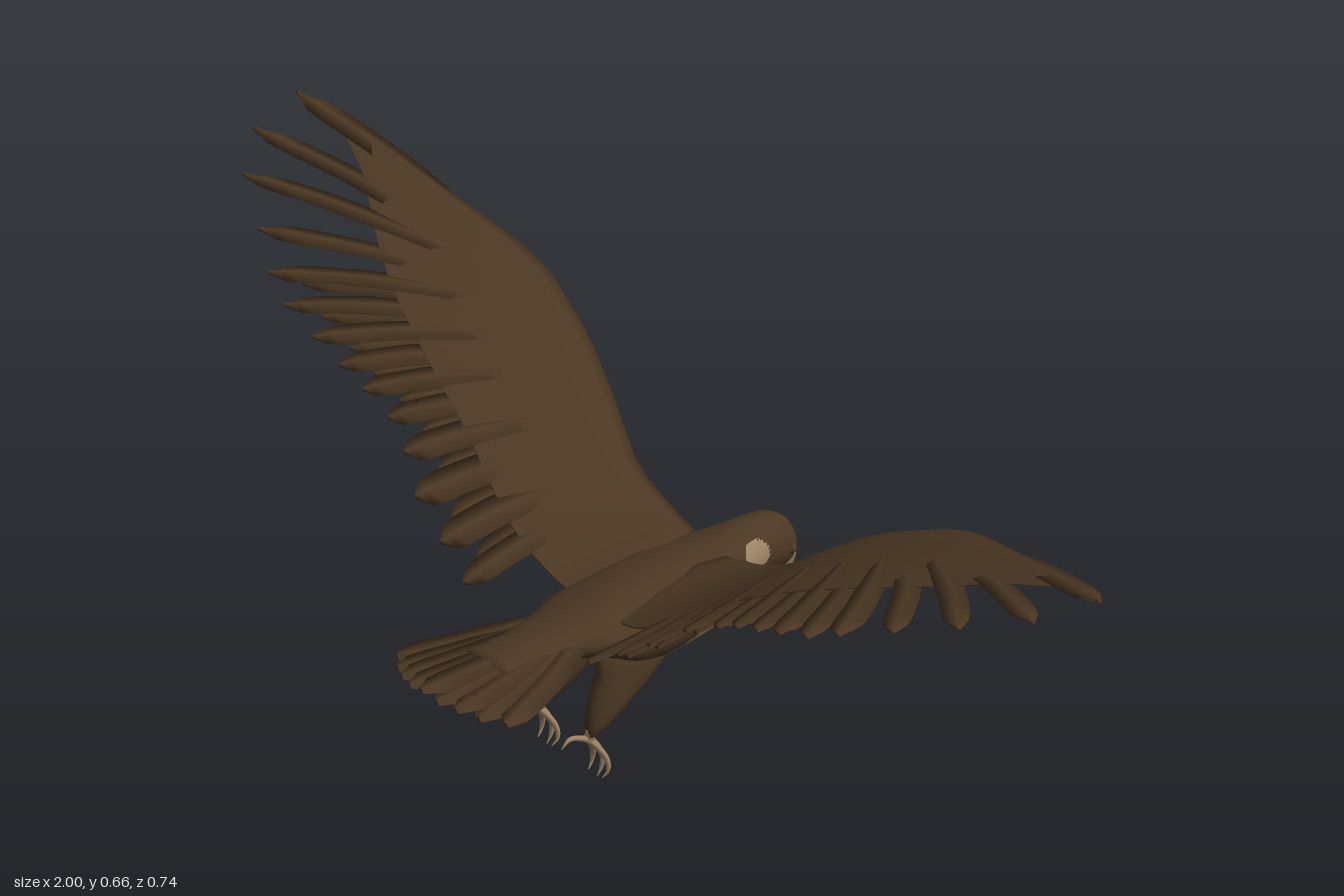
import * as THREE from 'three';

const V = (x, y, z) => new THREE.Vector3(x, y, z);
const brown = new THREE.MeshStandardMaterial({ name: 'brownPlumage', color: 0x4b3723 });
const tan = new THREE.MeshStandardMaterial({ name: 'tanPlumage', color: 0x9c8465 });

// Linear lookup in a table of [key, value] rows
function lookup(table, k) {
  if (k <= table[0][0]) return table[0][1];
  for (let i = 1; i < table.length; i++) {
    const [k0, v0] = table[i - 1], [k1, v1] = table[i];
    if (k <= k1) return v0 + (v1 - v0) * (k - k0) / (k1 - k0);
  }
  return table[table.length - 1][1];
}

// Closed skin over rings of points, capped at both ends and always facing outward
function loft(rings) {
  const n = rings[0].length, m = rings.length, pts = rings.flat(), idx = [];
  for (let i = 0; i < m - 1; i++) for (let j = 0; j < n; j++) {
    const a = i * n + j, b = i * n + (j + 1) % n;
    idx.push(a, b, a + n, b, b + n, a + n);
  }
  for (const [row, first] of [[0, true], [m - 1, false]]) {
    const c = pts.length, centre = V(0, 0, 0);
    rings[row].forEach(p => centre.addScaledVector(p, 1 / n));
    pts.push(centre);
    for (let j = 0; j < n; j++) {
      const a = row * n + j, b = row * n + (j + 1) % n;
      idx.push(...(first ? [c, b, a] : [c, a, b]));
    }
  }
  let volume = 0;
  const cross = V(0, 0, 0);
  for (let i = 0; i < idx.length; i += 3)
    volume += pts[idx[i]].dot(cross.crossVectors(pts[idx[i + 1]], pts[idx[i + 2]]));
  if (volume < 0) idx.reverse();
  const g = new THREE.BufferGeometry().setFromPoints(pts);
  g.setIndex(idx);
  g.computeVertexNormals();
  return g;
}

// Tapered round limb along a curve
function limb(points, radii, steps = 14, sides = 8) {
  const curve = new THREE.CatmullRomCurve3(points), f = curve.computeFrenetFrames(steps);
  return loft(Array.from({ length: steps + 1 }, (_, i) => {
    const t = i / steps, c = curve.getPointAt(t);
    const r = lookup(radii.map((v, k) => [k / (radii.length - 1), v]), t);
    return Array.from({ length: sides }, (_, j) => {
      const a = j / sides * Math.PI * 2;
      return c.clone().addScaledVector(f.normals[i], r * Math.cos(a)).addScaledVector(f.binormals[i], r * Math.sin(a));
    });
  }));
}

// Thin blade from base to tip [x, z]; height(x, t) gives y, side mirrors it
function feather(base, tip, half, side, height) {
  const dx = tip[0] - base[0], dz = tip[1] - base[1], len = Math.hypot(dx, dz);
  const nx = -dz / len, nz = dx / len, rings = [], steps = 12;
  for (let i = 0; i <= steps; i++) {
    const t = i / steps, e = Math.max(0, (t - 0.8) / 0.2);
    const w = half * Math.min(1, 0.55 + t) * (0.25 + 0.75 * Math.sqrt(1 - e * e));
    const sweep = 0.03 * len * Math.sin(Math.PI * t);
    const at = (u, up) => {
      const x = base[0] + dx * t + nx * (u * w - sweep), z = base[1] + dz * t + nz * (u * w - sweep);
      return V(side * x, height(x, t) + up + u * 0.003, z);
    };
    rings.push([at(-1, 0), at(0, 0.005), at(1, 0), at(0, -0.003)]);
  }
  return loft(rings);
}

// Splits faces between plumage colours by the face centre
function paint(g, isTan) {
  const p = g.attributes.position, src = g.index.array, lists = [[], []], c = V(0, 0, 0), q = V(0, 0, 0);
  for (let i = 0; i < src.length; i += 3) {
    c.set(0, 0, 0);
    for (let k = 0; k < 3; k++) c.add(q.fromBufferAttribute(p, src[i + k]));
    lists[isTan(c.divideScalar(3)) ? 1 : 0].push(src[i], src[i + 1], src[i + 2]);
  }
  g.setIndex([...lists[0], ...lists[1]]);
  g.addGroup(0, lists[0].length, 0);
  g.addGroup(lists[0].length, lists[1].length, 1);
  return g;
}

// Wing height, front edge and rear edge along the span
const wingY = [[0, .27], [.1, .29], [.15, .31], [.2, .337], [.25, .372], [.3, .41], [.35, .443], [.4, .471], [.5, .517], [.6, .553], [.8, .608], [1, .655]];
const wingFront = [[0, -.22], [.1, -.23], [.2, -.225], [.3, -.255], [.4, -.28], [.5, -.295], [.55, -.293], [.6, -.282], [.75, -.25], [1, -.2]];
const wingRear = [[0, .02], [.2, .03], [.3, .015], [.4, 0], [.5, -.02], [.6, -.05], [.7, -.1], [.8, -.16], [.9, -.195]];
// Flight feathers: base x, base z, tip x, tip z, half width
const flight = [
  [.55, -.25, 1, -.185, .026], [.55, -.22, .97, -.075, .024], [.55, -.2, .89, .01, .023], [.53, -.18, .79, .06, .023],
  [.51, -.15, .71, .105, .023], [.48, -.13, .65, .12, .023], [.45, -.12, .58, .12, .023], [.42, -.11, .52, .115, .023],
  [.385, -.1, .465, .112, .022], [.345, -.1, .41, .105, .022], [.305, -.09, .35, .12, .023], [.26, -.09, .29, .145, .024],
  [.21, -.09, .22, .15, .024], [.165, -.09, .155, .157, .022],
];

// Head and trunk rows: z, top, bottom, half width
const trunk = [
  [-.372, .25, .24, .004], [-.368, .268, .222, .018], [-.355, .288, .21, .032], [-.33, .303, .205, .042], [-.3, .307, .206, .046],
  [-.27, .307, .204, .05], [-.24, .305, .193, .06], [-.2, .3, .182, .085], [-.15, .298, .17, .1], [-.1, .297, .163, .105],
  [-.05, .293, .155, .1], [0, .287, .16, .095], [.05, .277, .195, .085], [.1, .267, .207, .065], [.16, .258, .212, .052], [.24, .248, .222, .05],
];
const breastLine = [[-.32, .2], [-.3, .215], [-.25, .225], [-.22, .255], [-.18, .258], [-.15, .235], [-.1, .205], [-.05, .18], [0, .165], [.02, .1]];
// Thigh rows: y, front z, back z, centre x, half width
const thigh = [[.23, -.09, .05, .05, .03], [.18, -.08, .058, .055, .032], [.15, -.04, .073, .058, .031], [.12, .005, .082, .06, .026], [.1, .04, .086, .062, .021], [.08, .07, .089, .063, .011]];

export function createModel() {
  const model = new THREE.Group();
  const add = (parent, name, geometry, material = brown) => {
    const m = new THREE.Mesh(geometry, material);
    m.name = name;
    parent.add(m);
    return m;
  };

  // Head and trunk in one skin, with tan breast and cheeks
  const outline = new THREE.CatmullRomCurve3(trunk.map(r => V(r[0], r[1], r[2])), false, 'catmullrom');
  const girth = new THREE.CatmullRomCurve3(trunk.map(r => V(r[3], 0, 0)), false, 'catmullrom');
  const rings = Array.from({ length: 91 }, (_, i) => {
    const o = outline.getPoint(i / 90), w = girth.getPoint(i / 90).x;
    return Array.from({ length: 48 }, (_, j) => {
      const a = j / 48 * Math.PI * 2;
      return V(w * Math.cos(a), (o.y + o.z) / 2 + (o.y - o.z) / 2 * Math.sin(a), o.x);
    });
  });
  const isTan = c => (c.z > -.32 && c.z < .02 && c.y < lookup(breastLine, c.z))
    || Math.hypot((c.z + .266) / .027, (c.y - .268) / .024) < 1;
  add(model, 'body', paint(loft(rings), isTan), [brown, tan]);

  // Hooked beak
  add(model, 'beak', limb([V(0, .23, -.345), V(0, .222, -.362), V(0, .203, -.362), V(0, .18, -.347)], [.017, .015, .01, .001]), tan);

  // Fanned tail
  const tail = new THREE.Group();
  tail.name = 'tail';
  model.add(tail);
  for (let i = -4; i <= 4; i++) {
    const u = i / 4, tip = [.135 * u, .367 - .06 * u * u];
    add(tail, 'tailFeather', feather([.03 * u, .06], tip, .026, 1,
      (x, t) => .252 - .015 * t - .022 * Math.abs(u) * t - .002 * Math.abs(i % 2)));
  }

  for (const side of [1, -1]) {
    const label = side > 0 ? 'left' : 'right';
    const wing = new THREE.Group(), leg = new THREE.Group();
    wing.name = label + 'Wing';
    leg.name = label + 'Leg';
    model.add(wing, leg);

    // Covered wing arm, a thin cambered section along the span
    const arm = Array.from({ length: 31 }, (_, i) => {
      const x = .04 + .84 * i / 30, y = lookup(wingY, x), f = lookup(wingFront, x), r = lookup(wingRear, x);
      const thick = .017 * (1 - .75 * i / 30), droop = .02 * (1 - i / 30);
      return [[0, 0], [.08, .7], [.3, 1], [.65, .6], [1, .12], [1, -.12], [.6, -.15], [.25, -.6], [.06, -.6]]
        .map(([c, h]) => V(side * x, y + h * thick - droop * c * c, f + (r - f) * c));
    });
    add(wing, 'wingArm', loft(arm));

    // Flight feathers, and shorter ones underneath between them
    flight.forEach(([bx, bz, tx, tz, w], i) => {
      const drop = .028 * Math.min(1, Math.max(0, (i - 2) / 4));
      const height = (x, t) => lookup(wingY, x) - drop * t - .003 * (i % 2);
      add(wing, 'flightFeather', feather([bx, bz], [tx, tz], w, side, height));
      const next = flight[i + 1];
      if (i < 4 || !next) return;
      add(wing, 'underFeather', feather([(bx + next[0]) / 2, bz], [(tx + next[2]) / 2, Math.min(tz, next[3]) - .045], w * .9, side,
        (x, t) => lookup(wingY, x) - .008 - (drop + .006) * t));
    });

    // Feathered thigh
    add(leg, 'thigh', loft(thigh.map(([y, f, b, x, w]) => Array.from({ length: 16 }, (_, j) => {
      const a = j / 16 * Math.PI * 2;
      return V(side * (x + w * Math.cos(a)), y, (f + b) / 2 + (b - f) / 2 * Math.sin(a));
    }))));

    // Foot with three front talons and one hind talon
    const X = .063;
    add(leg, 'ankle', limb([V(side * X, .09, .08), V(side * X, .078, .081), V(side * X, .066, .077)], [.008, .009, .006]), tan);
    for (const k of [-1, 0, 1]) {
      const p = (s, y, z) => V(side * (X + k * s), y, z + Math.abs(k) * .004);
      add(leg, 'frontTalon', limb([p(0, .075, .082), p(.01, .055, .066), p(.018, .034, .056), p(.02, .016, .057), p(.017, k ? .006 : 0, .066)],
        [.006, .0055, .005, .004, .0008]), tan);
    }
    add(leg, 'hindTalon', limb([V(side * X, .072, .083), V(side * X, .082, .103), V(side * X, .086, .122), V(side * X, .074, .138)], [.006, .005, .004, .0008]), tan);

    // Eye
    const eye = add(model, label + 'Eye', new THREE.SphereGeometry(.01, 16, 12));
    eye.position.set(side * .031, .247, -.346);
  }
  return model;
}
